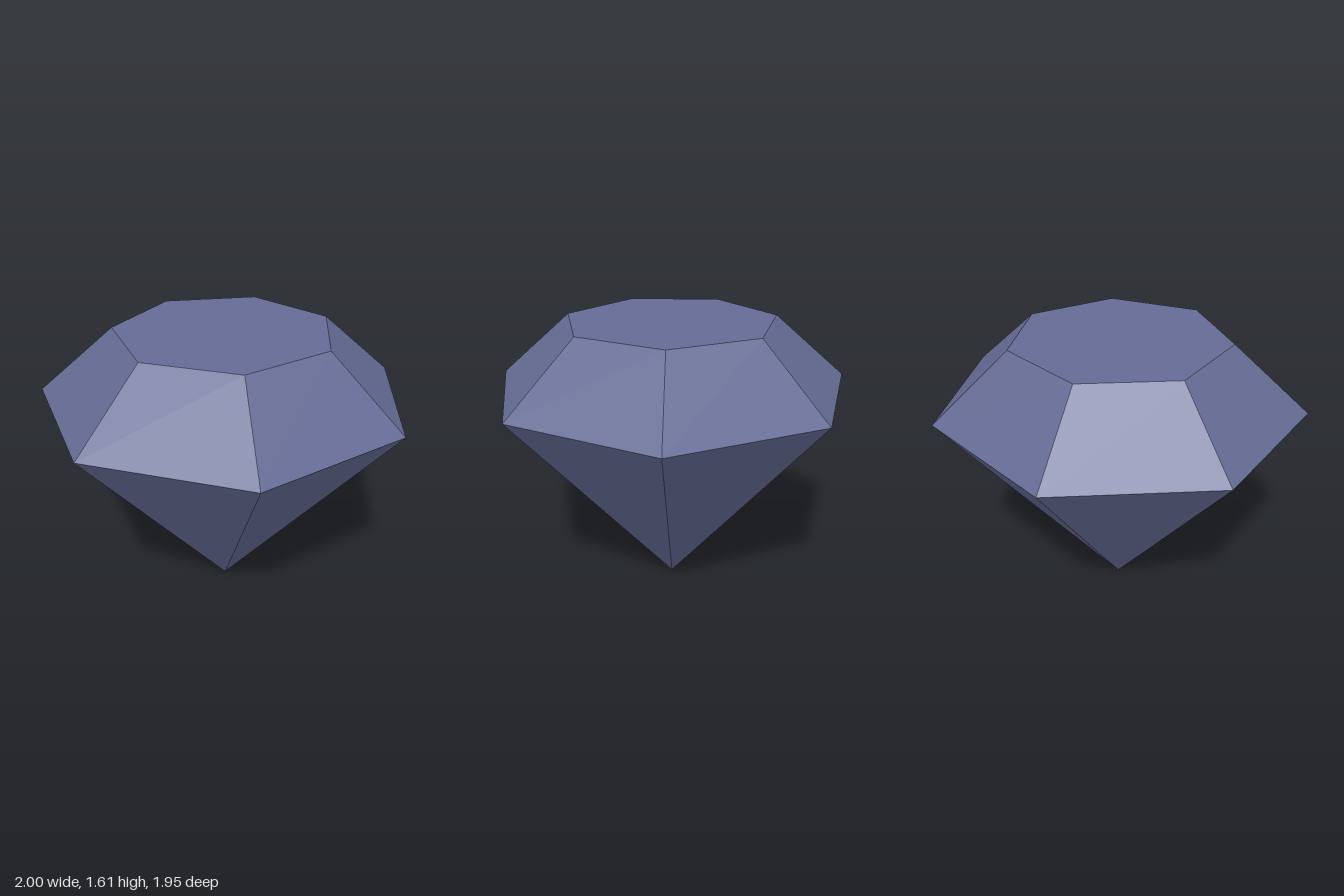
import * as THREE from 'three';

export function createModel() {
  const SIDES = 7;
  const GIRDLE_R = 1.0257, TABLE_R = 0.603;
  const GIRDLE_Y = 1.235, TOP_Y = 1.605;
  const CENTRE_Z = 0.051; // centres the seven-sided outline on z = 0

  const gemBlue = new THREE.MeshStandardMaterial({ color: 0x656b94, flatShading: true });
  gemBlue.name = 'gemBlue';

  const gem = new THREE.Group();
  gem.name = 'gem';

  // One band of facets between two heights, with a corner pointing backwards
  function facetBand(name, topR, bottomR, y0, y1) {
    const geo = new THREE.CylinderGeometry(topR, bottomR, y1 - y0, SIDES, 1, true, Math.PI);
    geo.translate(0, (y0 + y1) / 2, CENTRE_Z);
    const mesh = new THREE.Mesh(geo, gemBlue);
    mesh.name = name;
    gem.add(mesh);
  }

  // Pointed lower half and sloping upper band
  facetBand('pavilion', GIRDLE_R, 0, 0, GIRDLE_Y);
  facetBand('crown', TABLE_R, GIRDLE_R, GIRDLE_Y, TOP_Y);

  // Flat top facet
  const tableGeo = new THREE.CircleGeometry(TABLE_R, SIDES, Math.PI / 2);
  tableGeo.rotateX(-Math.PI / 2).translate(0, TOP_Y, CENTRE_Z);
  const table = new THREE.Mesh(tableGeo, gemBlue);
  table.name = 'table';
  gem.add(table);

  return gem;
}
